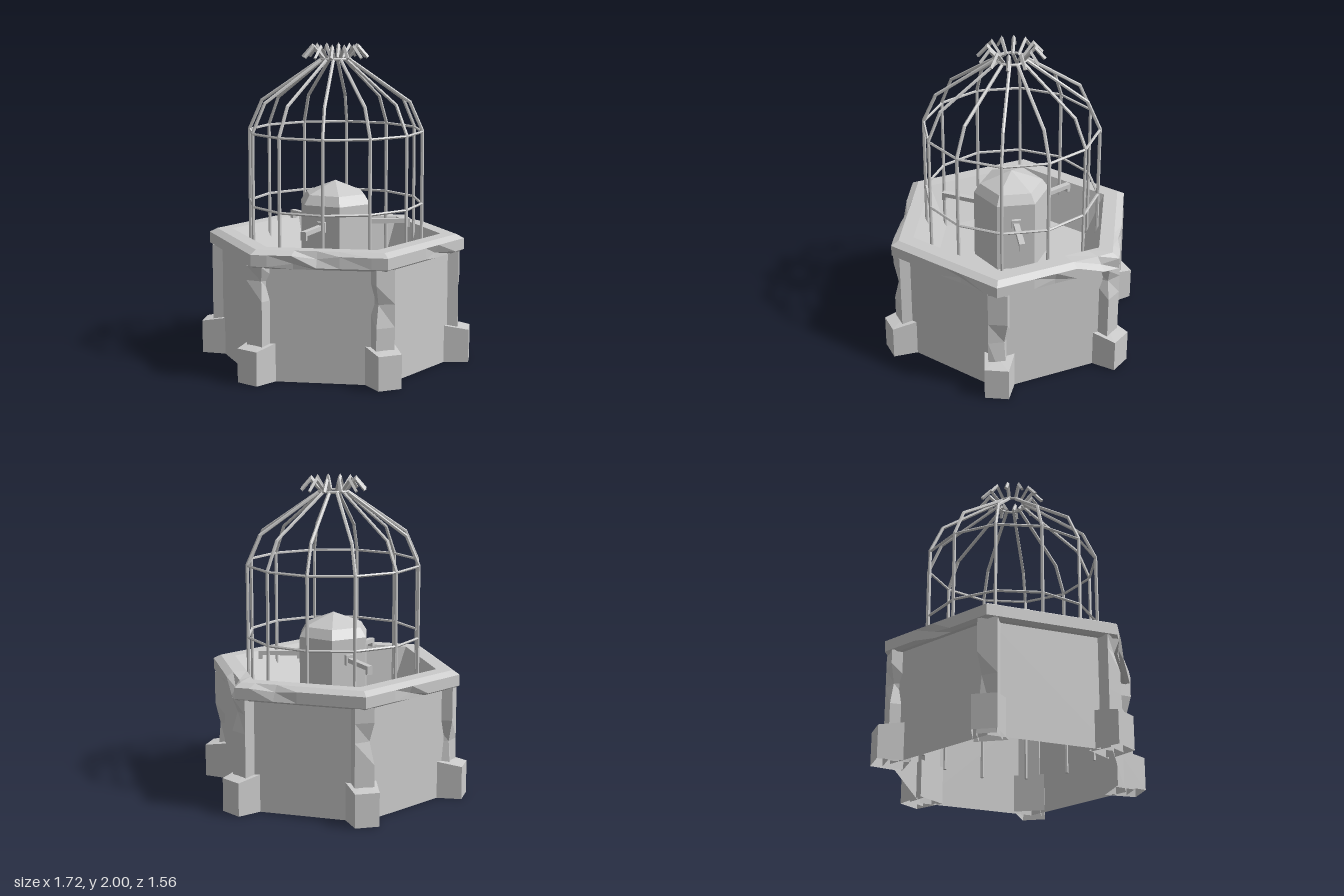
import * as THREE from 'three';

const stone = new THREE.MeshStandardMaterial({ color: 0xcccccc, flatShading: true, side: THREE.DoubleSide });

// Skin a list of rings (each a closed loop of [x, y, z]) with faceted quads
function loft(rings) {
  const pos = [];
  for (let i = 0; i < rings.length - 1; i++) {
    const a = rings[i], b = rings[i + 1], n = a.length;
    for (let j = 0; j < n; j++) {
      const k = (j + 1) % n;
      pos.push(...a[j], ...b[j], ...b[k], ...a[j], ...b[k], ...a[k]);
    }
  }
  const g = new THREE.BufferGeometry();
  g.setAttribute('position', new THREE.Float32BufferAttribute(pos, 3));
  g.computeVertexNormals();
  return g;
}

// Six-sided ring, with optional extra points along each side
function hex(r, y, turn = 0, fractions = [0]) {
  const pts = [];
  for (let s = 0; s < 6; s++) {
    const a = turn + s * Math.PI / 3, b = a + Math.PI / 3;
    for (const t of fractions) {
      pts.push([
        r * (Math.cos(a) * (1 - t) + Math.cos(b) * t), y,
        r * (Math.sin(a) * (1 - t) + Math.sin(b) * t)]);
    }
  }
  return pts;
}

// Four-cornered ring for blocks pointing along +x
const block = (x0, h0, x1, h1, y0, y1 = y0) =>
  [[x1, y1, -h1], [x1, y1, h1], [x0, y0, h0], [x0, y0, -h0]];

// Bar following a path in the x-y plane, mitred at each bend
function bar(path, radius, sides = 6) {
  const dir = (p, q) => new THREE.Vector2(q[0] - p[0], q[1] - p[1]).normalize();
  const rings = path.map((p, i) => {
    const d0 = dir(path[Math.max(i - 1, 0)], path[Math.max(i, 1)]);
    const d1 = i < path.length - 1 ? dir(p, path[i + 1]) : d0;
    const m = d0.clone().add(d1).normalize();
    const stretch = Math.min(1 / m.dot(d1), 1.6);
    return Array.from({ length: sides }, (_, j) => {
      const a = j / sides * Math.PI * 2;
      const u = Math.cos(a) * radius * stretch, w = Math.sin(a) * radius;
      return [p[0] + m.y * u, p[1] - m.x * u, w];
    });
  });
  const first = path[0], last = path[path.length - 1];
  rings.unshift(Array(sides).fill([...first, 0]));
  rings.push(Array(sides).fill([...last, 0]));
  return loft(rings);
}

export function createModel() {
  const model = new THREE.Group();
  const add = (name, geometry, parent = model) => {
    const mesh = new THREE.Mesh(geometry, stone);
    mesh.name = name;
    parent.add(mesh);
    return mesh;
  };

  // Open-bottomed hexagonal wall
  add('wall', loft([hex(0.76, 0), hex(0.76, 0.71)]));

  // Rim with a few chipped edges: [row, side, point, radial scale, drop]
  const fractions = [0, 0.12, 0.35, 0.52, 0.7, 0.88];
  const rim = [[0.74, 0.7], [0.79, 0.7], [0.82, 0.715], [0.82, 0.785], [0.77, 0.81], [0.67, 0.81]]
    .map(([r, y]) => hex(r, y, 0, fractions));
  const chips = [
    [3, 1, 3, 0.965, -0.02], [2, 1, 4, 0.97, 0.02], [3, 1, 2, 0.985, 0],
    [2, 0, 2, 0.96, 0.02], [3, 5, 1, 0.96, -0.03], [4, 5, 1, 0.985, -0.01],
    [2, 3, 3, 0.965, 0.025], [3, 4, 4, 0.975, -0.015], [2, 5, 3, 0.97, 0.02]];
  for (const [row, side, point, scale, drop] of chips) {
    const p = rim[row][side * fractions.length + point];
    p[0] *= scale;
    p[1] += drop;
    p[2] *= scale;
  }
  add('rim', loft(rim));

  // Sloping basin and its floor
  add('basin', loft([hex(0.67, 0.81), hex(0.54, 0.54), hex(0, 0.54)]));

  // Corner pillars, each with a chipped edge, standing on flared feet
  for (let i = 0; i < 6; i++) {
    const corner = new THREE.Group();
    corner.name = 'cornerSupport';
    corner.rotation.y = -i * Math.PI / 3;
    model.add(corner);
    const rows = [0, 0.36, 0.5, 0.62, 0.71].map(y => block(0.66, 0.07, 0.79, 0.06, y));
    const chip = rows[1 + (i % 3)][i % 2];
    chip[0] -= 0.025;
    chip[2] *= 0.6;
    add('pillar', loft(rows), corner);
    add('foot', loft([
      block(0.66, 0.1, 0.86, 0.075, 0),
      block(0.66, 0.1, 0.86, 0.075, 0.245, 0.21),
      block(0.76, 0, 0.76, 0, 0.232)]), corner);
  }

  // Central column with a pointed cap
  const turn = THREE.MathUtils.degToRad(16);
  add('column', loft([[0.24, 0.54], [0.24, 1.0], [0.2, 1.06], [0, 1.14]].map(([r, y]) => hex(r, y, turn))));

  // Three spouts on alternate column faces
  for (let i = 0; i < 3; i++) {
    const spout = new THREE.Group();
    spout.name = 'spout';
    spout.rotation.y = -THREE.MathUtils.degToRad(106 + i * 120);
    model.add(spout);
    add('spoutArm', new THREE.BoxGeometry(0.29, 0.028, 0.036).translate(0.335, 0.87, 0), spout);
    add('spoutTip', new THREE.BoxGeometry(0.025, 0.045, 0.036).translate(0.467, 0.852, 0), spout);
    add('spoutFlange', new THREE.BoxGeometry(0.03, 0.065, 0.06).translate(0.215, 0.87, 0), spout);
  }

  // Domed cage: twelve bent bars with curled tips, tied by three hoops
  const cage = new THREE.Group();
  cage.name = 'cage';
  model.add(cage);
  const barShape = bar([[0.55, 0.18], [0.55, 1.46], [0.47, 1.64], [0.085, 1.905]], 0.011);
  const tipShape = bar([[0.075, 1.905], [0.145, 1.983], [0.205, 1.915]], 0.012, 4);
  for (let i = 0; i < 12; i++) {
    const angle = i * Math.PI / 6;
    add('cageBar', barShape, cage).rotation.y = angle;
    add('curledTip', tipShape, cage).rotation.y = angle;
  }
  for (const [r, y] of [[0.55, 1.0], [0.55, 1.455], [0.095, 1.905]]) {
    const hoop = add('cageHoop', new THREE.TorusGeometry(r, 0.009, 5, 12), cage);
    hoop.rotation.x = Math.PI / 2;
    hoop.position.y = y;
  }

  return model;
}
